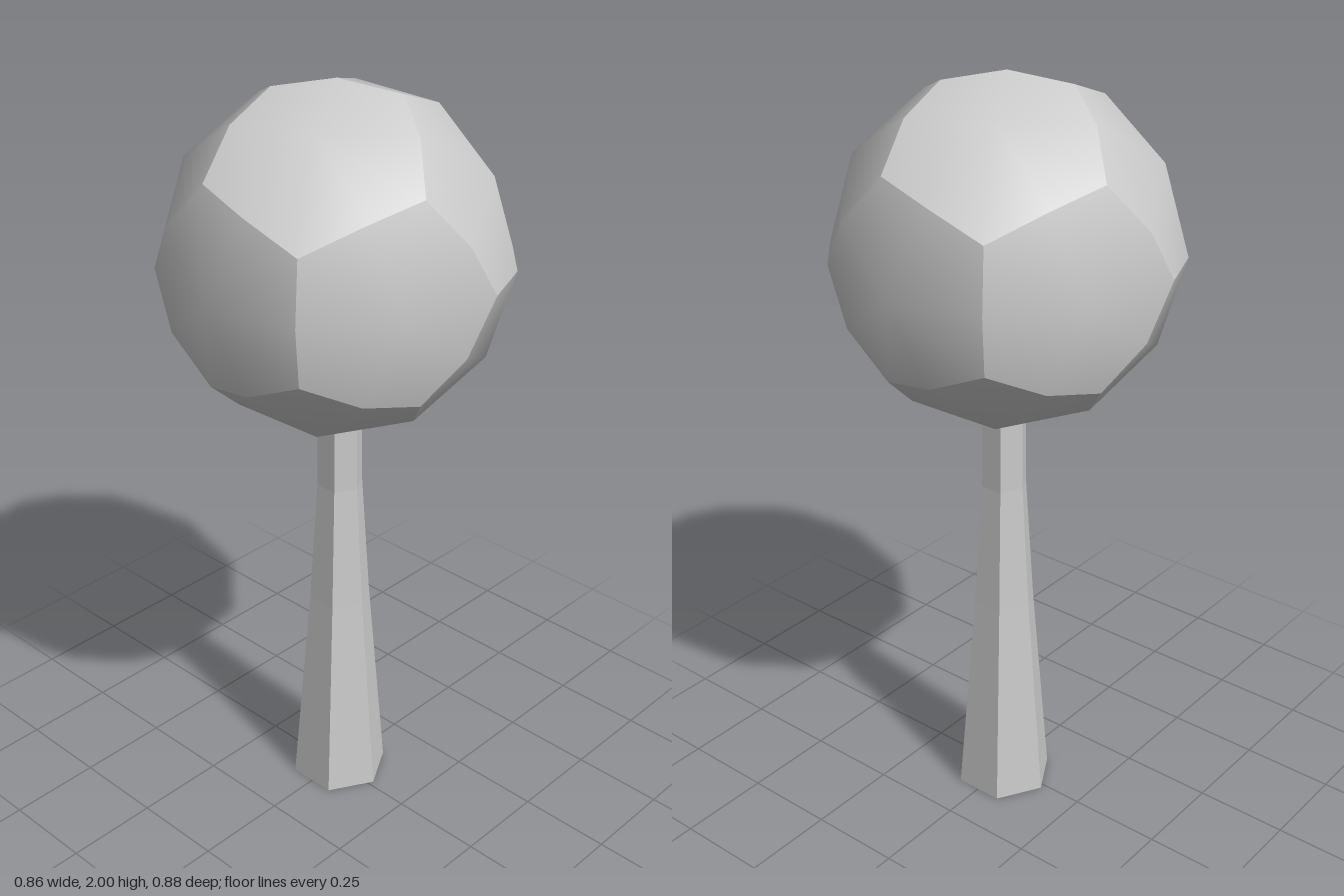
import * as THREE from 'three';

const PHI = (1 + Math.sqrt(5)) / 2;
const SIGNS = [1, -1];

// All cyclic permutations of (±a, ±b, 0), as unit directions
function cyclicDirections(a, b) {
  const out = [];
  for (const s of SIGNS) for (const t of SIGNS) {
    const x = a * s, y = b * t;
    for (const p of [[x, y, 0], [0, x, y], [y, 0, x]]) out.push(new THREE.Vector3(...p).normalize());
  }
  return out;
}

// Rounded dodecahedron: corners, edge middles and panel centres all lie on the sphere.
// Each panel keeps its own vertices, so it is smooth inside and creased at its border.
function panelBall(radius) {
  const corners = cyclicDirections(1 / PHI, PHI);
  for (const x of SIGNS) for (const y of SIGNS) for (const z of SIGNS) {
    corners.push(new THREE.Vector3(x, y, z).normalize());
  }
  const positions = [], index = [];
  for (const centre of cyclicDirections(PHI, 1)) {
    const ring = corners.filter((c) => c.dot(centre) > 0.7);
    const u = ring[0].clone().addScaledVector(centre, -ring[0].dot(centre)).normalize();
    const v = centre.clone().cross(u);
    const angle = (c) => Math.atan2(c.dot(v), c.dot(u));
    ring.sort((a, b) => angle(a) - angle(b));

    const rim = [];
    ring.forEach((c, i) => {
      rim.push(c, c.clone().add(ring[(i + 1) % ring.length]).normalize());
    });
    const base = positions.length / 3;
    for (const p of [centre, ...rim]) positions.push(p.x * radius, p.y * radius, p.z * radius);
    rim.forEach((_, i) => index.push(base, base + 1 + i, base + 1 + ((i + 1) % rim.length)));
  }
  const geometry = new THREE.BufferGeometry();
  geometry.setAttribute('position', new THREE.Float32BufferAttribute(positions, 3));
  geometry.setIndex(index);
  geometry.computeVertexNormals();
  return geometry;
}

export function createModel() {
  const model = new THREE.Group();
  model.name = 'roundTree';

  // Six-sided trunk flaring towards the ground, closed underneath
  const profile = [[0, 0], [0.132, 0], [0.083, 0.585], [0.061, 0.93], [0.059, 1.25]]
    .map(([r, y]) => new THREE.Vector2(r, y));
  const trunk = new THREE.Mesh(
    new THREE.LatheGeometry(profile, 6, Math.PI / 2),
    new THREE.MeshStandardMaterial({ color: 0xcccccc, flatShading: true })
  );
  trunk.name = 'trunk';
  trunk.position.set(-0.002, 0, -0.015);
  model.add(trunk);

  // Crown, turned so one panel faces the front
  const crown = new THREE.Mesh(
    panelBall(0.438),
    new THREE.MeshStandardMaterial({ color: 0xcccccc })
  );
  crown.name = 'crown';
  crown.position.y = 1.562;
  crown.rotation.y = Math.atan(1 / PHI);
  model.add(crown);

  return model;
}
